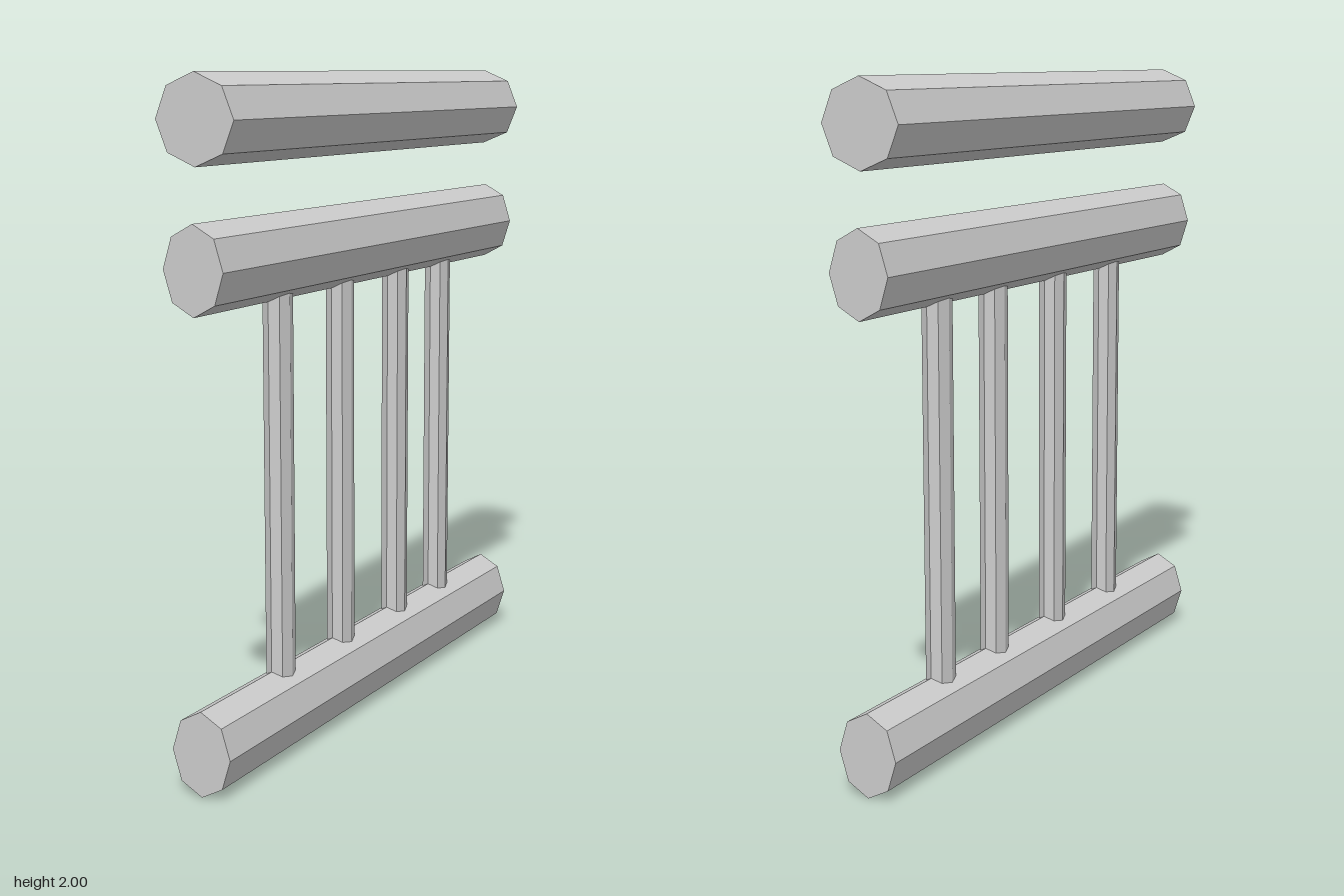
import * as THREE from 'three';

export function createModel() {
  const group = new THREE.Group();
  const material = new THREE.MeshStandardMaterial({ color: 0xcccccc, flatShading: true });

  // Eight-sided bar along y with an elliptical section
  const bar = (rx, rz, length) =>
    new THREE.CylinderGeometry(1, 1, length, 8).scale(rx, 1, rz);

  const add = (name, geometry, y, z) => {
    const mesh = new THREE.Mesh(geometry, material);
    mesh.name = name;
    mesh.position.set(0, y, z);
    group.add(mesh);
  };

  // Horizontal rails: name, half width, half height, length, centre height
  const rails = [
    ['handRail', 0.124, 0.124, 1.79, 1.876],
    ['middleRail', 0.096, 0.125, 1.826, 1.48],
    ['bottomRail', 0.096, 0.126, 1.826, 0.127],
  ];
  for (const [name, rx, ry, length, y] of rails) {
    add(name, bar(rx, ry, length).rotateX(Math.PI / 2), y, 0);
  }

  // Upright balusters set into the two lower rails
  [0.487, 0.127, -0.233, -0.537].forEach((z, i) => {
    add(`baluster${i + 1}`, bar(0.04, 0.053, 1.2), 0.803, z);
  });

  return group;
}
